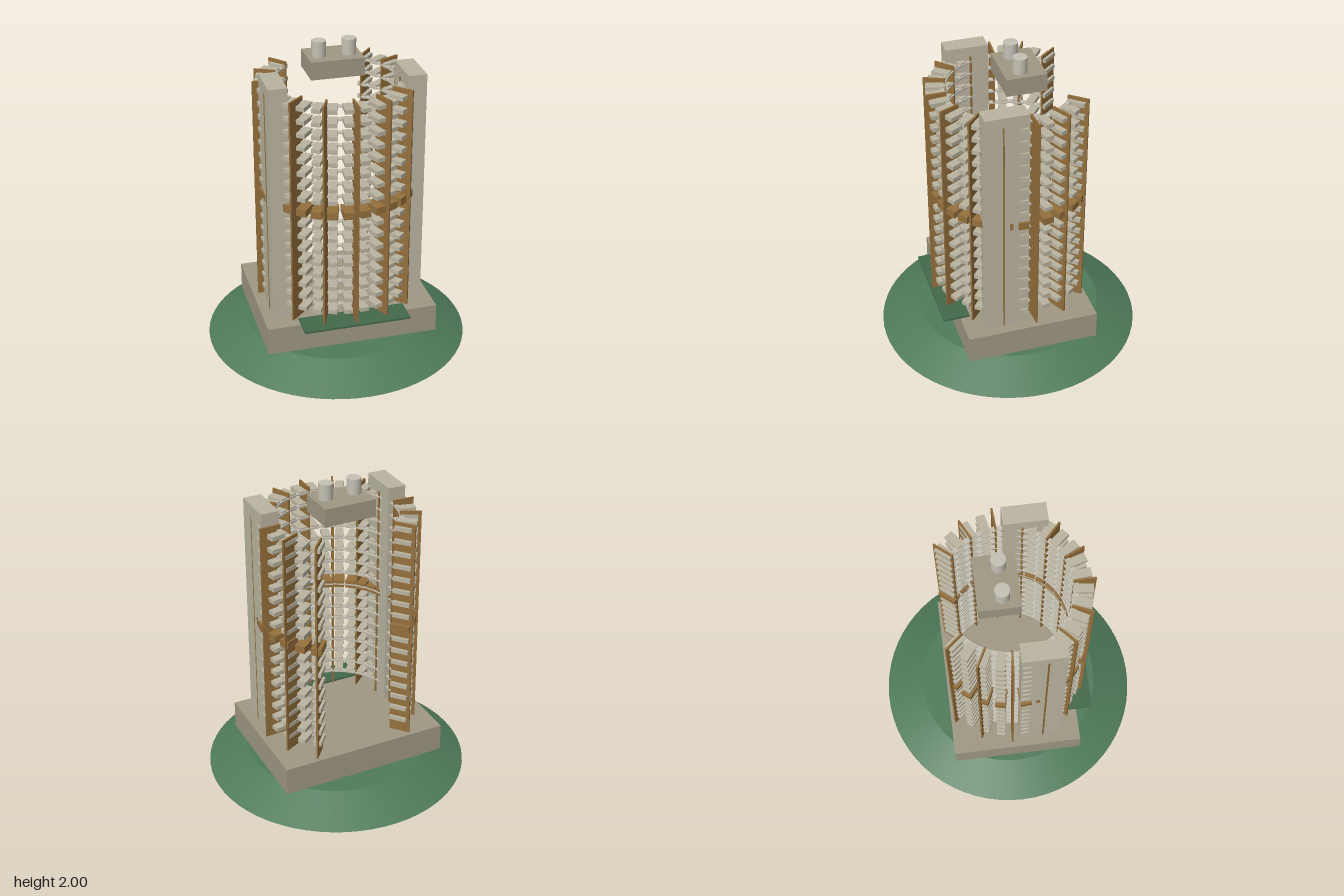
import * as THREE from 'three';

const mat = (color) => new THREE.MeshStandardMaterial({ color });
const MOUND = mat(0x4f7a5a), STONE = mat(0x9e9782), TOWER = mat(0xbab4a0);
const PALE = mat(0xc4c0b4), BRONZE = mat(0x946f3c), LAWN = mat(0x43694c);
const rad = THREE.MathUtils.degToRad;

function add(parent, name, geometry, material, x = 0, y = 0, z = 0, turn = 0) {
  const mesh = new THREE.Mesh(geometry, material);
  mesh.name = name;
  mesh.position.set(x, y, z);
  mesh.rotation.y = turn;
  parent.add(mesh);
  return mesh;
}

// Box given by its bottom and top heights
function block(parent, name, w, d, y0, y1, x, z, material) {
  return add(parent, name, new THREE.BoxGeometry(w, y1 - y0, d), material, x, (y0 + y1) / 2, z);
}

// Places a part on the ring, angle measured from the front
function onRing(parent, name, geometry, material, radius, y, degrees) {
  const a = rad(degrees);
  return add(parent, name, geometry, material, radius * Math.sin(a), y, radius * Math.cos(a), a);
}

export function createModel() {
  const model = new THREE.Group();
  model.name = 'apartmentTower';

  // Ground and podium
  add(model, 'mound', new THREE.CylinderGeometry(0.595, 0.843, 0.127, 64), MOUND, 0, 0.0635, 0);
  block(model, 'podium', 1.1, 0.845, 0.127, 0.31, 0, -0.003, STONE);
  block(model, 'entranceCanopy', 0.68, 0.17, 0.312, 0.325, 0, 0.445, LAWN);

  // Service towers on both sides
  for (const side of [-1, 1]) {
    block(model, side > 0 ? 'leftServiceTower' : 'rightServiceTower',
      0.116, 0.27, 0.31, 1.848, side * 0.426, 0.151, TOWER);
  }

  // Roof plant room with its two tanks
  block(model, 'roofPlantRoom', 0.336, 0.25, 1.787, 1.9, -0.002, -0.067, STONE);
  for (const side of [-1, 1]) {
    add(model, 'roofTank', new THREE.CylinderGeometry(0.045, 0.045, 0.1, 24), PALE,
      -0.002 + side * 0.094, 1.95, -0.045);
  }

  // Tall radial fins around the open ring
  const END = 140.5;
  const fins = new THREE.Group();
  fins.name = 'fins';
  model.add(fins);
  const finGeometry = new THREE.BoxGeometry(0.011, 1.474, 0.135);
  for (let i = -6; i <= 6; i++) {
    onRing(fins, 'fin', finGeometry, BRONZE, 0.449, 1.047, (i * END) / 6);
  }

  // Thin walkway arc, open at the back
  const outline = new THREE.Shape();
  const from = rad(90 + 180 - END), to = rad(90 + 180 + END);
  outline.absarc(0, 0, 0.41, from, to, false);
  outline.absarc(0, 0, 0.38, to, from, true);
  const walkway = new THREE.ExtrudeGeometry(outline, { depth: 0.01, bevelEnabled: false, curveSegments: 36 });
  walkway.rotateX(-Math.PI / 2);

  // Floors of balconies, one floor wrapped in bronze
  const balconies = [6, 17.5, 29, 40, 51, 62, 73, 84, 102.5, 115, 128, 140];
  const balcony = new THREE.BoxGeometry(0.054, 0.027, 0.11);
  const band = new THREE.BoxGeometry(0.066, 0.047, 0.122);
  const FLOORS = 17, BAND_FLOOR = 8;
  for (let f = 0; f < FLOORS; f++) {
    const floor = new THREE.Group();
    floor.name = 'floor' + (f + 1);
    floor.position.y = 0.405 + f * 0.084;
    model.add(floor);
    add(floor, 'walkway', walkway, PALE, 0, -0.005, 0);
    for (const angle of balconies) {
      for (const side of [-1, 1]) {
        onRing(floor, 'balcony', balcony, TOWER, 0.442, 0, side * angle);
        if (f === BAND_FLOOR) onRing(floor, 'bronzeBand', band, BRONZE, 0.442, 0, side * angle);
      }
    }
  }
  return model;
}
